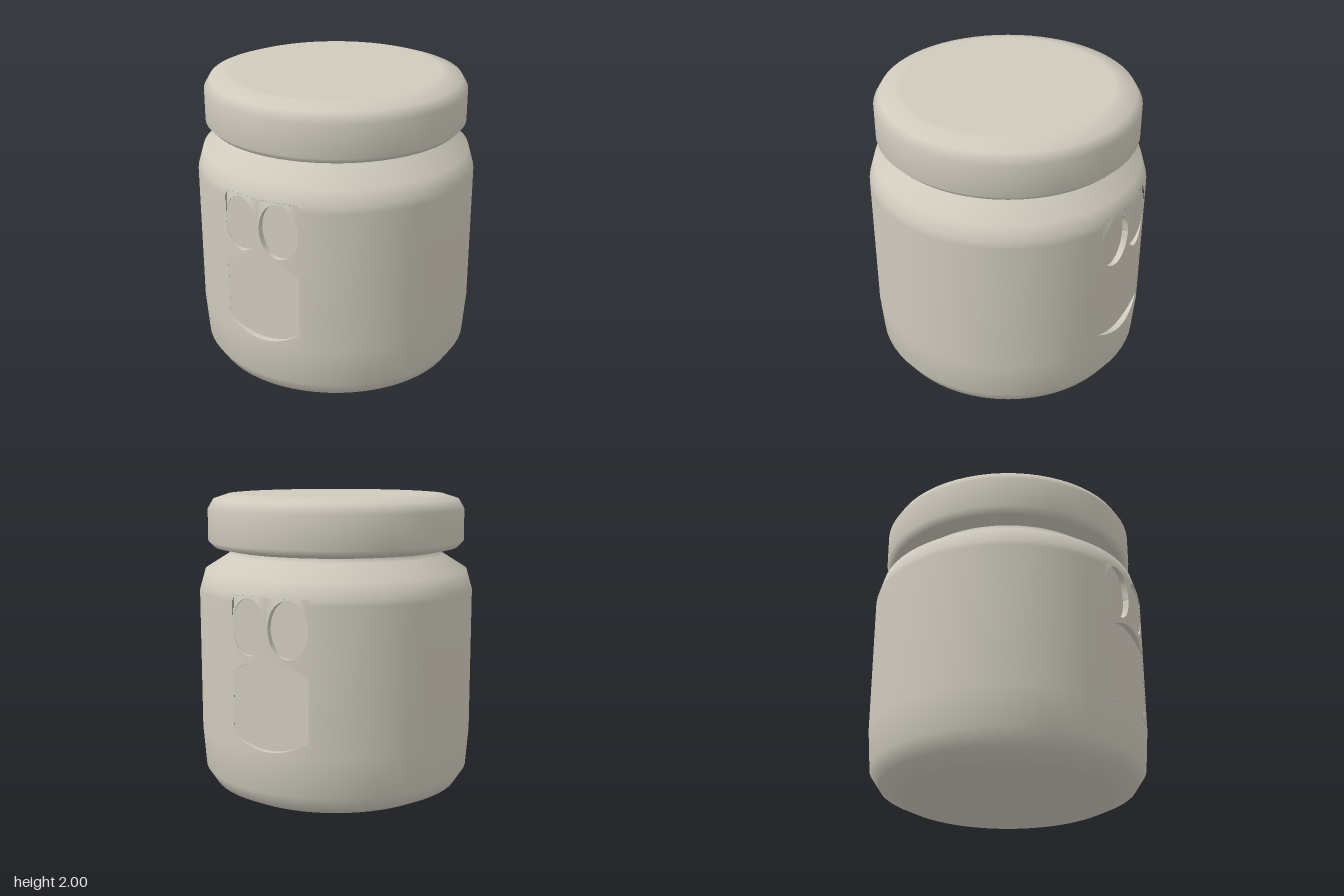
import * as THREE from 'three';
import { mergeGeometries } from 'three/addons/utils/BufferGeometryUtils.js';

const SEG = 64;               // sides of the round parts
const GAP = 3;                // segments left open each side of a face panel
const R = 0.92;               // wall radius
const FLOOR = 0.88;           // flat depth of the carved face
const PANEL = [0.42, 1.40];   // height range of a face panel
const COLS = 120;             // columns across a panel

const toPoints = (list) => list.map(([x, y]) => new THREE.Vector2(x, y));

// Wall radius by height: straight, then starting to curve into the shoulder
const wallRadius = (y) => R - Math.max(0, y - 1.36) * 0.28;

// Jar body, with two openings in the wall for the face panels
function bodyGeometry() {
  const profile = toPoints([
    [0, 0], [0.68, 0], [0.72, 0.005], [0.835, 0.06], [0.9, 0.16], [R, PANEL[0]], [R, 1.36],
    [wallRadius(PANEL[1]), PANEL[1]], [0.88, 1.5], [0.72, 1.6], [0.715, 1.64],
  ]);
  const geo = new THREE.LatheGeometry(profile, SEG);
  const old = geo.index.array;
  const rows = profile.length - 1;
  const kept = [];
  for (let i = 0; i < SEG; i++) {
    const k = i % (SEG / 2);
    const inGap = k < GAP || k >= SEG / 2 - GAP;
    for (let j = 0; j < rows; j++) {
      if (inGap && profile[j].y >= PANEL[0] && profile[j + 1].y <= PANEL[1]) continue;
      const o = (i * rows + j) * 6;
      for (let n = 0; n < 6; n++) kept.push(old[o + n]);
    }
  }
  geo.setIndex(kept);
  return geo;
}

// Outlines of the carved face, as heights over x
const mouthLow = (x) => 0.435 + 1.15 * x * x;
const mouthHigh = (x) => 1.01 - 1.3 * x * x;
const eyeHalf = (x) => 0.18 * Math.sqrt(Math.max(0, 1 - ((Math.abs(x) - 0.138) / 0.132) ** 2));
const eyeLow = (x) => 1.21 - eyeHalf(x);
const eyeHigh = (x) => 1.21 + eyeHalf(x);

// Points on the curved wall and on the flat carved floor
const onWall = (height) => (a) => {
  const y = height(R * Math.sin(a));
  const r = wallRadius(y);
  return [r * Math.sin(a), y, r * Math.cos(a)];
};
const onFloor = (height) => (a) => {
  const [x, y, z] = onWall(height)(a);
  return [x, y, Math.min(z, FLOOR)];
};

// Strip of quads between a lower and an upper line
function strip(lower, upper) {
  const half = GAP * 2 * Math.PI / SEG;
  const pos = [];
  const index = [];
  for (let i = 0; i <= COLS; i++) {
    const a = half * (2 * i / COLS - 1);
    pos.push(...lower(a), ...upper(a));
    const v = i * 2;
    if (i < COLS) index.push(v, v + 2, v + 3, v, v + 3, v + 1);
  }
  const geo = new THREE.BufferGeometry();
  geo.setAttribute('position', new THREE.Float32BufferAttribute(pos, 3));
  geo.setIndex(index);
  geo.computeVertexNormals();
  return geo;
}

// Curved panel with two eyes and a mouth cut back to a flat floor
function faceGeometry() {
  const parts = [
    strip(onWall(() => PANEL[0]), onWall(mouthLow)),
    strip(onWall(mouthHigh), onWall(eyeLow)),
    strip(onWall(eyeHigh), onWall(() => PANEL[1])),
  ];
  for (const [low, high] of [[mouthLow, mouthHigh], [eyeLow, eyeHigh]]) {
    parts.push(
      strip(onWall(low), onFloor(low)),     // lower rim
      strip(onFloor(low), onFloor(high)),   // floor
      strip(onFloor(high), onWall(high)),   // upper rim
    );
  }
  return mergeGeometries(parts);
}

export function createModel() {
  const group = new THREE.Group();
  group.name = 'jar';
  const clay = new THREE.MeshStandardMaterial({ color: 0xcfcabd });
  clay.name = 'warm grey';

  const add = (name, geo) => {
    const mesh = new THREE.Mesh(geo, clay);
    mesh.name = name;
    group.add(mesh);
    return mesh;
  };

  add('body', bodyGeometry());

  const face = faceGeometry();
  add('frontFace', face);
  add('backFace', face).rotation.y = Math.PI;

  // Lid with bevelled rims
  add('lid', new THREE.LatheGeometry(toPoints([
    [0.7, 1.625], [0.82, 1.65], [0.858, 1.69], [0.858, 1.9],
    [0.82, 1.965], [0.72, 1.997], [0.68, 2], [0, 2],
  ]), SEG));

  return group;
}
